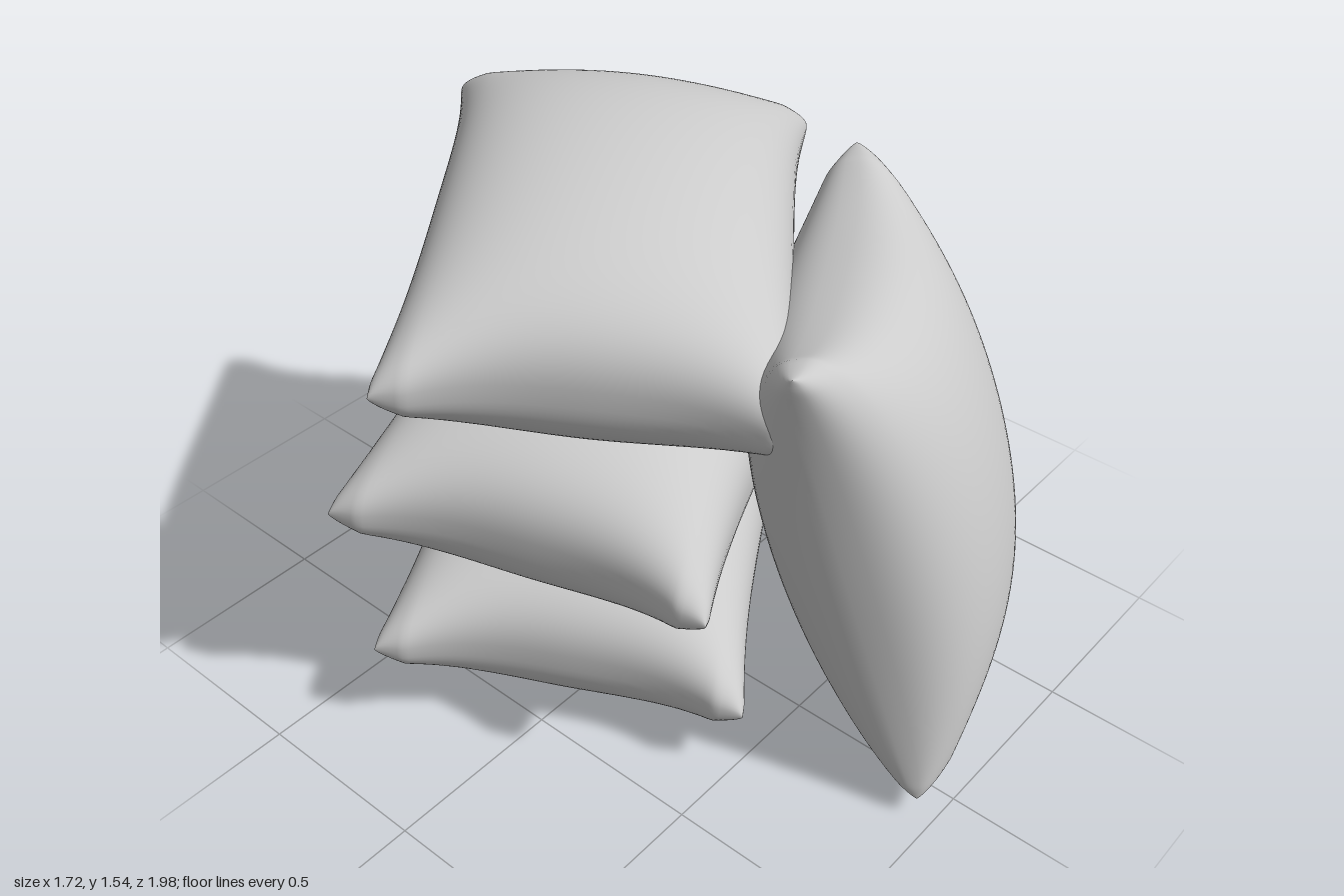
import * as THREE from 'three';
import { mergeGeometries, mergeVertices } from 'three/addons/utils/BufferGeometryUtils.js';

const HALF_LENGTH = 0.68, HALF_WIDTH = 0.485, HALF_THICKNESS = 0.3;

// Seam dip: an arc along the edge that ends at a short flat tip by the corner
const dip = (t, reach) => 1 - Math.min(1, Math.abs(t) / reach) ** 3;

// Inflated cushion: rounded sides, blunt corners, seams drawn in between them
function cushionGeometry() {
  const half = new THREE.PlaneGeometry(2, 2, 64, 56).rotateX(-Math.PI / 2);
  half.deleteAttribute('uv');
  half.deleteAttribute('normal');
  const pos = half.attributes.position;
  for (let i = 0; i < pos.count; i++) {
    const a = pos.getX(i) * Math.PI / 2, b = pos.getZ(i) * Math.PI / 2;
    const u = Math.sin(a), v = Math.sin(b);
    const bulge = Math.max(0, Math.cos(a) * Math.cos(b)) ** 0.8;
    pos.setXYZ(i,
      HALF_LENGTH * u - 0.07 * dip(v, 0.84) * u ** 3,
      HALF_THICKNESS * bulge,
      HALF_WIDTH * v - 0.035 * dip(u, 0.95) * v ** 3);
  }
  // The underside is the same half turned over, welded along the seam
  const whole = mergeVertices(mergeGeometries([half, half.clone().rotateX(Math.PI)]), 1e-4);
  whole.computeVertexNormals();
  return whole;
}

export function createModel() {
  const group = new THREE.Group();
  const geometry = cushionGeometry();
  const material = new THREE.MeshStandardMaterial({ color: 0xcccccc });

  // Places a cushion by its centre and the directions of its length and width
  function addCushion(name, center, lengthDir, widthDir) {
    const x = new THREE.Vector3(...lengthDir).normalize();
    const y = new THREE.Vector3(...widthDir).cross(x).normalize();
    const z = x.clone().cross(y);
    const mesh = new THREE.Mesh(geometry, material);
    mesh.name = name;
    mesh.quaternion.setFromRotationMatrix(new THREE.Matrix4().makeBasis(x, y, z));
    mesh.position.set(...center);
    group.add(mesh);
  }

  // Stack of three, each turned differently and tipped slightly up at the back
  const stack = [
    ['bottomCushion', [0.03, 0.304, -0.23], 31],
    ['middleCushion', [-0.03, 0.76, -0.155], 22],
    ['topCushion', [-0.022, 1.23, -0.14], 37],
  ];
  for (const [name, center, degrees] of stack) {
    const t = THREE.MathUtils.degToRad(degrees), c = Math.cos(t), s = Math.sin(t);
    addCushion(name, center, [c, 0.063, -s], [s, -0.088, c]);
  }

  // Cushion standing on end and leaning on the stack
  addCushion('leaningCushion', [0.197, 0.745, 0.583], [-0.24, 1.3, -0.29], [0.86, 0.05, -0.45]);
  return group;
}
